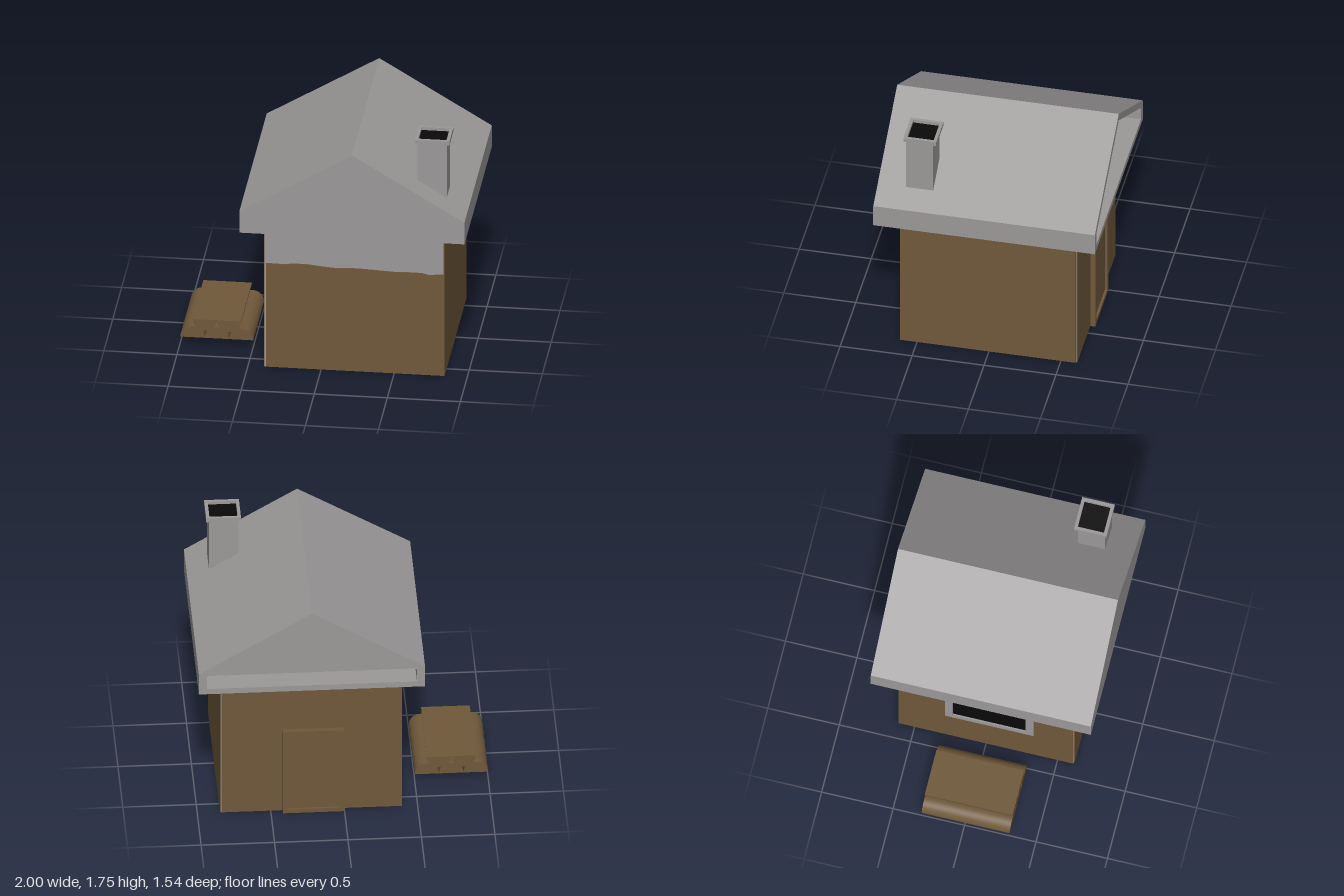
import * as THREE from 'three';

const mat = (name, color) => {
  const m = new THREE.MeshStandardMaterial({ color });
  m.name = name;
  return m;
};

export function createModel() {
  const grey = mat('stoneGrey', 0x9c9999);
  const brown = mat('woodBrown', 0x70593a);
  const black = mat('sootBlack', 0x0a0a0a);
  const model = new THREE.Group();
  model.name = 'cottage';

  const add = (name, geometry, material, parent = model) => {
    const mesh = new THREE.Mesh(geometry, material);
    mesh.name = name;
    parent.add(mesh);
    return mesh;
  };
  const group = (name) => {
    const g = new THREE.Group();
    g.name = name;
    model.add(g);
    return g;
  };
  // Box given by its limits on each axis
  const box = (name, x0, x1, y0, y1, z0, z1, material, parent) =>
    add(name, new THREE.BoxGeometry(x1 - x0, y1 - y0, z1 - z0)
      .translate((x0 + x1) / 2, (y0 + y1) / 2, (z0 + z1) / 2), material, parent);
  const shapeOf = (pts) => new THREE.Shape(pts.map(([x, y]) => new THREE.Vector2(x, y)));
  // Outline in x, y pushed from z0 to z1, with an optional hole
  const slab = (name, pts, z0, z1, material, parent, hole) => {
    const shape = shapeOf(pts);
    if (hole) shape.holes.push(shapeOf(hole));
    const geo = new THREE.ExtrudeGeometry(shape, { depth: z1 - z0, bevelEnabled: false });
    return add(name, geo.translate(0, 0, z0), material, parent);
  };
  const rect = (x0, x1, y0, y1) => [[x0, y0], [x1, y0], [x1, y1], [x0, y1]];

  // Walls: grey core with thin timber cladding
  const walls = group('walls');
  box('wallCore', -0.387, 0.84, 0, 1.09, -0.607, 0.613, grey, walls);
  box('rightCladding', 0.839, 0.846, 0.003, 1.08, -0.603, 0.618, brown, walls);
  box('leftCladding', -0.392, -0.386, 0.003, 1.08, -0.613, 0.612, brown, walls);
  box('backCladding', -0.39, 0.835, 0.003, 1.08, -0.613, -0.606, brown, walls);
  slab('frontCladding', [
    [-0.375, 0.003], [0.845, 0.003], [0.845, 0.766], [0.74, 0.755], [0.69, 0.767],
    [0.62, 0.768], [0.5, 0.765], [0.4, 0.77], [0.25, 0.777], [0.1, 0.77], [0.0, 0.778],
    [-0.1, 0.789], [-0.2, 0.787], [-0.25, 0.779], [-0.375, 0.782],
  ], 0.612, 0.619, brown, walls);

  // Roof: solid body, and a hollow rim around the recessed back gable
  const roof = group('roof');
  const outline = [[-0.54, 1.075], [1, 1.075], [1, 1.238], [0.23, 1.7], [-0.54, 1.238]];
  const opening = [[-0.485, 1.117], [0.945, 1.117], [0.945, 1.215], [0.23, 1.644], [-0.485, 1.215]];
  slab('roofBody', outline, -0.61, 0.77, grey, roof);
  slab('backGableRim', outline, -0.77, -0.61, grey, roof, opening);

  // Chimney with open cap
  const chimney = group('chimney');
  box('chimneyStack', 0.655, 0.855, 1.25, 1.73, 0.385, 0.572, grey, chimney);
  const cap = slab('chimneyCap', rect(0.638, 0.875, -0.588, -0.36), 0, 0.03, grey, chimney,
    rect(0.66, 0.852, -0.565, -0.382));
  cap.rotation.x = -Math.PI / 2;
  cap.position.y = 1.725;
  box('chimneyOpening', 0.659, 0.853, 1.726, 1.733, 0.381, 0.566, black, chimney);

  // Back door: raised frame around a panel
  const door = group('door');
  slab('doorFrame', [[0, 0], [0.42, 0], [0.42, 0.66], [0, 0.66]], -0.648, -0.61, brown, door,
    rect(0.035, 0.385, 0.03, 0.625));
  box('doorPanel', 0.03, 0.39, 0.02, 0.63, -0.632, -0.61, brown, door);

  // Left window: frame built facing z, then turned towards -x
  const sill = group('window');
  slab('windowFrame', rect(-0.285, 0.335, 0.4, 0.84), 0, 0.015, grey, sill,
    rect(-0.23, 0.28, 0.45, 0.79));
  box('windowPane', -0.235, 0.285, 0.445, 0.795, 0, 0.005, black, sill);
  sill.rotation.y = -Math.PI / 2;
  sill.position.x = -0.389;

  // Split logs: three with the flat side down, two on top with the flat side up
  const logs = group('logPile');
  const log = (name, x, y, up) => {
    const shape = new THREE.Shape();
    shape.absarc(x, y, 0.083, up ? 0 : Math.PI, up ? Math.PI : Math.PI * 2, false);
    shape.closePath();
    const geo = new THREE.ExtrudeGeometry(shape, { depth: 0.615, bevelEnabled: false, curveSegments: 20 });
    add(name, geo.translate(0, 0, -0.3), brown, logs);
  };
  [-0.917, -0.75, -0.583].forEach((x, i) => log('lowerLog' + (i + 1), x, 0.048, true));
  [-0.833, -0.667].forEach((x, i) => log('upperLog' + (i + 1), x, 0.185, false));

  return model;
}
